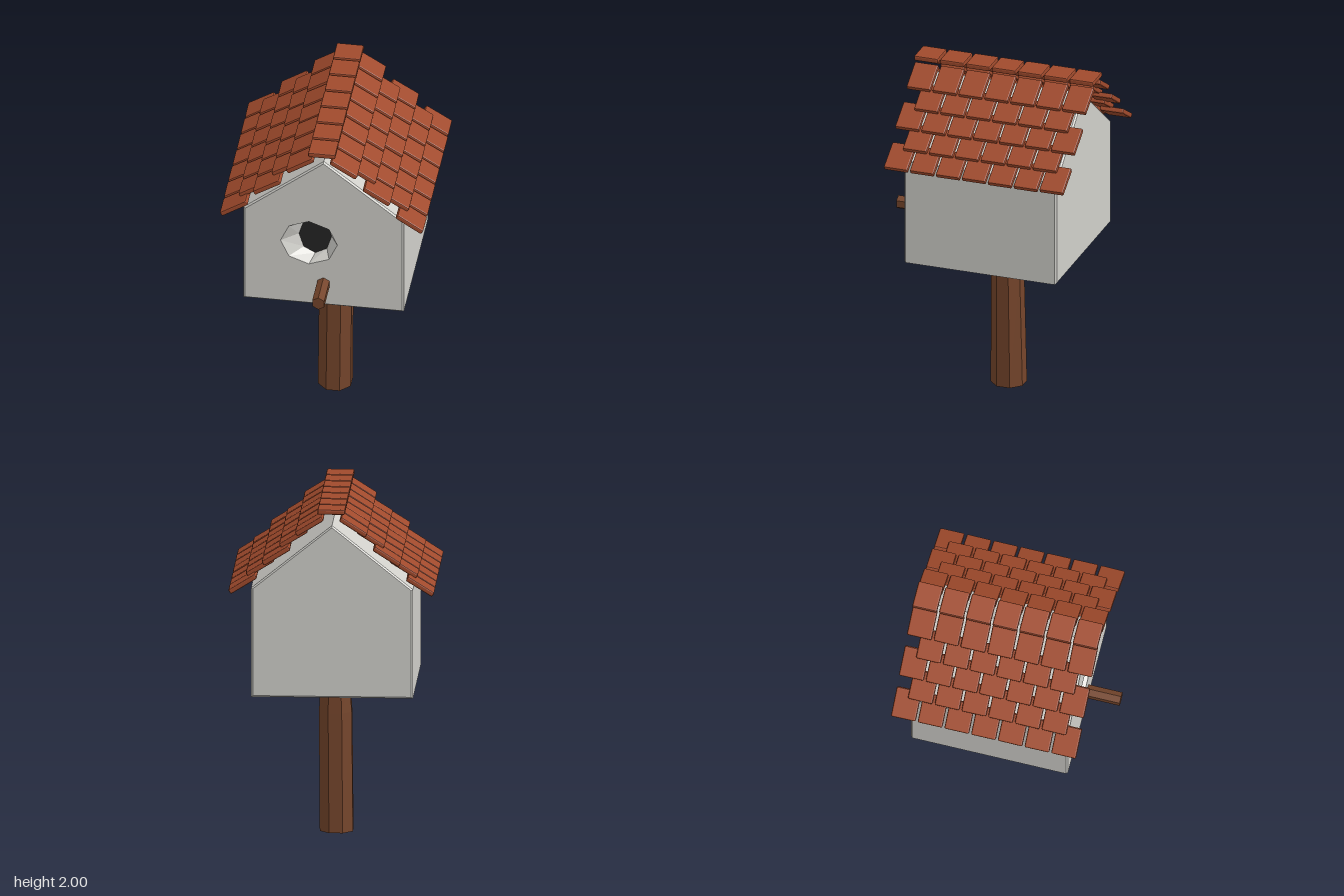
import * as THREE from 'three';
import { RoundedBoxGeometry } from 'three/addons/geometries/RoundedBoxGeometry.js';

const material = (name, color) => Object.assign(new THREE.MeshStandardMaterial({ color }), { name });

// Regular polygon ring in the xy plane at depth z, counter-clockwise
function ring(sides, cx, cy, rx, ry, z, turn = 0) {
  return Array.from({ length: sides }, (_, i) => {
    const a = turn + (i / sides) * Math.PI * 2;
    return new THREE.Vector3(cx + rx * Math.cos(a), cy + ry * Math.sin(a), z);
  });
}

// Flat-shaded skin through rings, with optional end caps
function loft(rings, capStart, capEnd) {
  const pts = [];
  const n = rings[0].length;
  for (let r = 0; r < rings.length - 1; r++) {
    for (let i = 0; i < n; i++) {
      const j = (i + 1) % n, p = rings[r], q = rings[r + 1];
      pts.push(p[i], p[j], q[j], p[i], q[j], q[i]);
    }
  }
  const first = rings[0], last = rings[rings.length - 1];
  for (let i = 1; i < n - 1; i++) {
    if (capStart) pts.push(first[0], first[i + 1], first[i]);
    if (capEnd) pts.push(last[0], last[i], last[i + 1]);
  }
  const geometry = new THREE.BufferGeometry().setFromPoints(pts);
  geometry.computeVertexNormals();
  return geometry;
}

export function createModel() {
  const model = new THREE.Group();
  model.name = 'birdhouse';
  const wall = material('pale wall', 0xd0cfca);
  const wood = material('brown wood', 0x75452b);
  const clay = material('red clay', 0xa04a2c);
  const dark = material('dark opening', 0x242424);

  const add = (parent, name, geometry, mat) => {
    const mesh = new THREE.Mesh(geometry, mat);
    mesh.name = name;
    parent.add(mesh);
    return mesh;
  };

  // House body: chamfered gable prism
  const house = new THREE.Group();
  house.name = 'house';
  model.add(house);
  const outline = [[-0.465, 0.875], [0.465, 0.875], [0.465, 1.515], [0, 1.887], [-0.465, 1.515]];
  const gable = (z, inset) => outline.map(([x, y]) => new THREE.Vector3(
    x * (1 - inset / 0.465), 1.35 + (y - 1.35) * (1 - inset / 0.5), z));
  const front = gable(0.41, 0.01);
  add(house, 'walls', loft([gable(-0.52, 0.01), gable(-0.51, 0), gable(0.4, 0), front], true, false), wall);

  // Front wall with an octagonal entrance tapering inwards
  const rim = ring(8, -0.085, 1.308, 0.165, 0.15, 0.41);
  const throat = ring(8, -0.06, 1.31, 0.095, 0.127, 0.33);
  const face = new THREE.Shape(front.map(p => new THREE.Vector2(p.x, p.y)));
  face.holes.push(new THREE.Path(rim.map(p => new THREE.Vector2(p.x, p.y))));
  add(house, 'frontWall', new THREE.ShapeGeometry(face).translate(0, 0, 0.41), wall);
  add(house, 'entranceRim', loft([rim, throat], false, false), wall);
  add(house, 'entranceOpening', loft([throat.map(p => p.clone().setZ(0.325)), throat], true, true), dark);

  // Six-sided perch
  add(model, 'perch', loft([
    ring(6, 0, 1.028, 0.04, 0.041, 0.38, Math.PI / 6),
    ring(6, 0, 1.028, 0.04, 0.041, 0.61, Math.PI / 6),
  ], true, true), wood);

  // Eight-sided post, narrowing towards the top
  const t = Math.PI / 8;
  add(model, 'post', loft([
    ring(8, -0.004, 0.062, 0.103, 0.105, 0, t),
    ring(8, 0.002, 0.058, 0.102, 0.094, 0.7, t),
    ring(8, 0.004, 0.057, 0.09, 0.089, 0.88, t),
  ], true, true).rotateX(-Math.PI / 2), wood);

  // Roof tiles with slight hand-laid variation
  const roof = new THREE.Group();
  roof.name = 'roof';
  model.add(roof);
  let seed = 7;
  const jitter = amount => {
    seed = (seed * 16807) % 2147483647;
    return (seed / 2147483647 - 0.5) * 2 * amount;
  };
  const tileGeometry = (length, thickness, width) => {
    const geometry = new RoundedBoxGeometry(length, thickness, width, 1, 0.008);
    const flat = geometry.index ? geometry.toNonIndexed() : geometry;
    flat.computeVertexNormals();
    return flat;
  };
  const shingle = tileGeometry(0.178, 0.03, 0.145);
  const cap = tileGeometry(0.158, 0.03, 0.145);
  const pitch = 0.158;

  for (const side of [-1, 1]) {
    for (let row = 0; row < 5; row++) {
      const staggered = row % 2 === 1;
      const count = staggered ? 6 : 7;
      for (let i = 0; i < count; i++) {
        const tile = add(roof, 'roofTile', shingle, clay);
        tile.position.set(
          side * (0.51 - row * 0.0958),
          1.555 + row * 0.0858 + jitter(0.002),
          (staggered ? -0.456 : -0.533) + i * pitch);
        tile.rotation.set(0, jitter(0.012), -side * (0.56 + jitter(0.012)));
      }
    }
  }
  for (let i = 0; i < 7; i++) {
    const tile = add(roof, 'ridgeTile', cap, clay);
    tile.position.set(0, 1.985, -0.533 + i * pitch);
  }
  return model;
}
